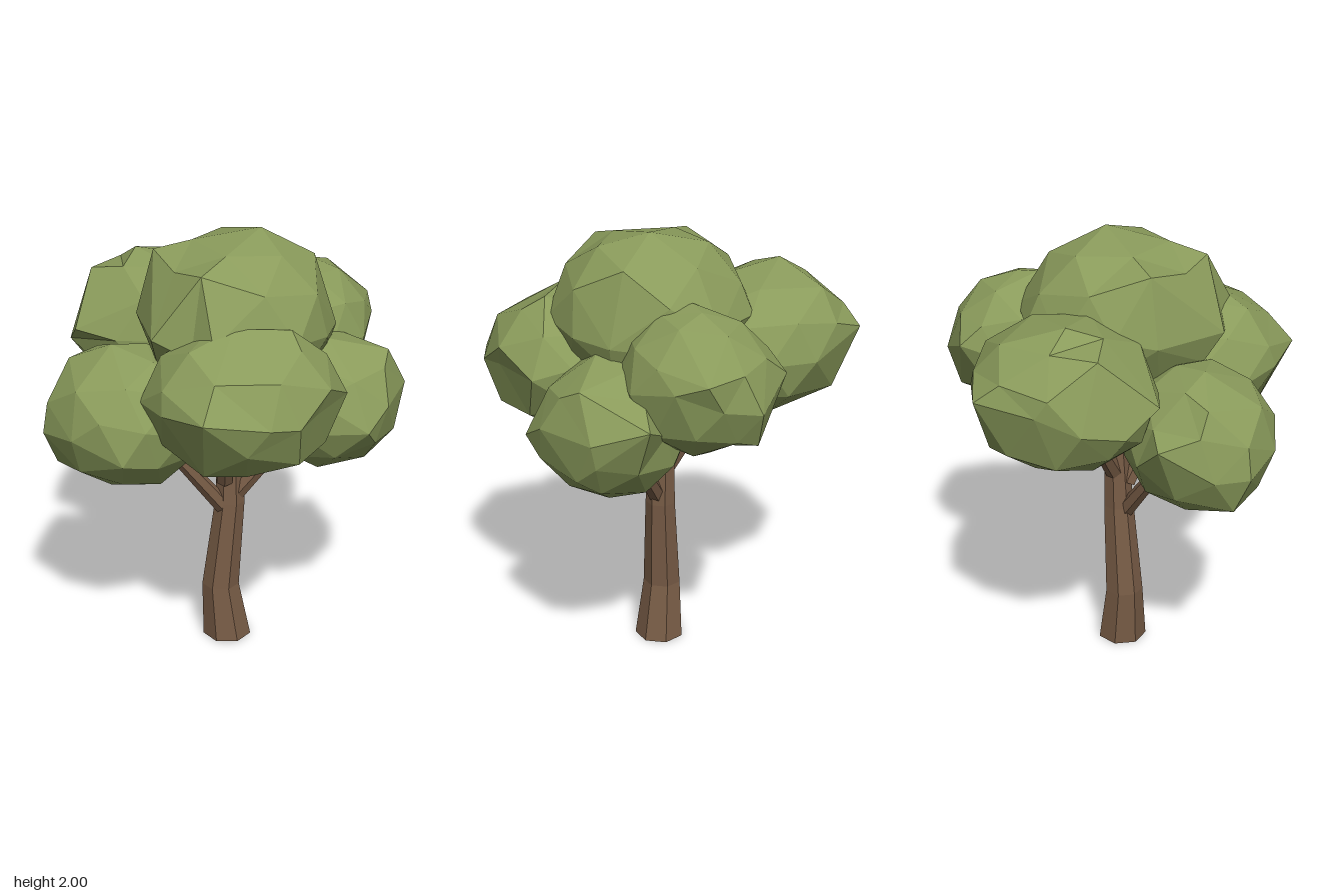
import * as THREE from 'three';
import { mergeVertices } from 'three/addons/utils/BufferGeometryUtils.js';

const bark = new THREE.MeshStandardMaterial({ color: 0x785c46, flatShading: true });
bark.name = 'bark brown';
const leaf = new THREE.MeshStandardMaterial({ color: 0x8a9b5b, flatShading: true });
leaf.name = 'leaf green';

// Small repeatable random generator
function seeded(seed) {
  let s = seed;
  return () => (s = (s * 16807) % 2147483647) / 2147483647;
}

// Faceted clump of leaves filling the box from min to max;
// the vertex nearest to each corner point is pulled out to it
function clump(name, min, max, seed, corners) {
  const rand = seeded(seed * 7919 + 13);
  let geo = new THREE.IcosahedronGeometry(1, 1);
  geo.deleteAttribute('normal');
  geo.deleteAttribute('uv');
  geo = mergeVertices(geo, 1e-3);
  geo.rotateX(rand() * 3);
  geo.rotateY(rand() * 6);

  const lo = new THREE.Vector3(...min);
  const hi = new THREE.Vector3(...max);
  const center = lo.clone().add(hi).multiplyScalar(0.5);
  const radius = hi.clone().sub(lo).multiplyScalar(0.5);
  const pos = geo.attributes.position;
  const points = [];
  for (let i = 0; i < pos.count; i++) {
    const p = new THREE.Vector3().fromBufferAttribute(pos, i);
    points.push(p.multiplyScalar(0.96 + rand() * 0.04).multiply(radius));
  }
  const free = new Set(points);
  for (const corner of corners) {
    const target = new THREE.Vector3(...corner).sub(center);
    let best = null;
    for (const p of free) {
      if (!best || p.distanceTo(target) < best.distanceTo(target)) best = p;
    }
    best.copy(target);
    free.delete(best);
  }
  pos.copyArray(points.flatMap((p) => p.toArray()));
  geo.computeVertexNormals();

  const mesh = new THREE.Mesh(geo, leaf);
  mesh.name = name;
  mesh.position.copy(center);
  return mesh;
}

// Trunk: a seven-sided tube lofted through rings of [x, y, z, radius]
function trunk() {
  const rings = [
    [-0.005, 0, -0.003, 0.114],
    [-0.035, 0.27, -0.005, 0.088],
    [0.008, 0.7, -0.015, 0.07],
    [0.01, 1.0, -0.025, 0.056],
    [0.02, 1.4, -0.03, 0.04],
  ];
  const geo = new THREE.CylinderGeometry(1, 1, 1, 7, rings.length - 1);
  geo.rotateY(Math.PI);
  const pos = geo.attributes.position;
  for (let i = 0; i < pos.count; i++) {
    const [x, y, z, r] = rings[Math.round((pos.getY(i) + 0.5) * (rings.length - 1))];
    pos.setXYZ(i, x + pos.getX(i) * r, y, z + pos.getZ(i) * r);
  }
  geo.computeVertexNormals();
  const mesh = new THREE.Mesh(geo, bark);
  mesh.name = 'trunk';
  return mesh;
}

// Tapered six-sided branch between two points
function branch(name, from, to) {
  const a = new THREE.Vector3(...from);
  const b = new THREE.Vector3(...to);
  const dir = b.clone().sub(a);
  const mesh = new THREE.Mesh(new THREE.CylinderGeometry(0.024, 0.042, dir.length(), 6), bark);
  mesh.name = name;
  mesh.position.copy(a).add(b).multiplyScalar(0.5);
  mesh.quaternion.setFromUnitVectors(new THREE.Vector3(0, 1, 0), dir.normalize());
  return mesh;
}

export function createModel() {
  const tree = new THREE.Group();
  tree.name = 'tree';

  // Trunk and the branches that reach into each clump
  tree.add(
    trunk(),
    branch('rightBranch', [0, 0.65, 0], [-0.34, 1.12, 0.13]),
    branch('leftBranch', [0.02, 0.72, -0.01], [0.36, 1.14, 0.01]),
    branch('frontBranch', [-0.015, 0.82, 0.02], [0.0, 1.28, 0.26]),
    branch('backRightBranch', [0, 0.86, -0.03], [-0.2, 1.3, -0.28]),
    branch('backLeftBranch', [0.02, 0.9, -0.03], [0.22, 1.3, -0.24]),
  );

  // Crown
  tree.add(
    clump('topClump', [-0.4, 1.25, -0.44], [0.48, 2, 0.48], 1, [
      [-0.06, 1.65, 0.5], [-0.11, 1.9, 0.35], [-0.32, 1.91, 0], [0.14, 2, -0.02],
      [0.37, 1.89, 0], [-0.32, 1.62, 0.34], [0.29, 1.62, 0.4], [-0.4, 1.62, 0],
      [0.47, 1.58, 0.02], [0, 1.65, -0.44], [0.27, 1.65, -0.39],
    ]),
    clump('frontClump', [-0.37, 1.06, 0.03], [0.5, 1.71, 0.78], 2, [
      [-0.1, 1.43, 0.79], [0.17, 1.4, 0.77], [0.02, 1.71, 0.44], [0.26, 1.7, 0.42],
      [0.5, 1.4, 0.37], [-0.1, 1.12, 0.6], [-0.27, 1.4, 0.62], [0.36, 1.4, 0.6],
      [-0.37, 1.38, 0.42], [0.05, 1.06, 0.36],
    ]),
    clump('rightClump', [-0.8, 0.89, -0.16], [-0.06, 1.54, 0.52], 3, [
      [-0.8, 1.16, 0.25], [-0.75, 1, 0.2], [-0.33, 0.89, 0.16], [-0.44, 1.12, 0.52],
      [-0.66, 1.2, 0.43], [-0.69, 1.3, -0.12], [-0.69, 1.45, 0.1], [-0.5, 1.54, 0.17],
    ]),
    clump('leftClump', [0.08, 0.92, -0.31], [0.79, 1.54, 0.36], 4, [
      [0.79, 1.28, -0.04], [0.74, 1.09, 0.05], [0.42, 0.92, -0.06], [0.72, 1.35, -0.27],
      [0.6, 1.2, 0.355], [0.7, 1.47, 0.05], [0.13, 1.04, 0.02], [0.43, 1.54, 0.1],
    ]),
    clump('backLeftClump', [0.06, 1.14, -0.67], [0.66, 1.77, 0.02], 5, [
      [0.23, 1.5, -0.67], [0.48, 1.4, -0.66], [0.65, 1.55, -0.49], [0.66, 1.5, -0.35],
      [0.42, 1.24, -0.62], [0.5, 1.72, -0.3], [0.3, 1.77, -0.28], [0.35, 1.14, -0.38],
    ]),
    clump('backRightClump', [-0.72, 1.12, -0.78], [0.14, 1.79, 0.02], 6, [
      [-0.4, 1.52, -0.8], [-0.06, 1.45, -0.71], [-0.6, 1.5, -0.61], [-0.42, 1.79, -0.41],
      [-0.3, 1.71, -0.65], [-0.3, 1.26, -0.71], [-0.72, 1.4, -0.27], [-0.68, 1.5, -0.11],
      [-0.62, 1.71, -0.35], [-0.28, 1.12, -0.42],
    ]),
  );
  return tree;
}
